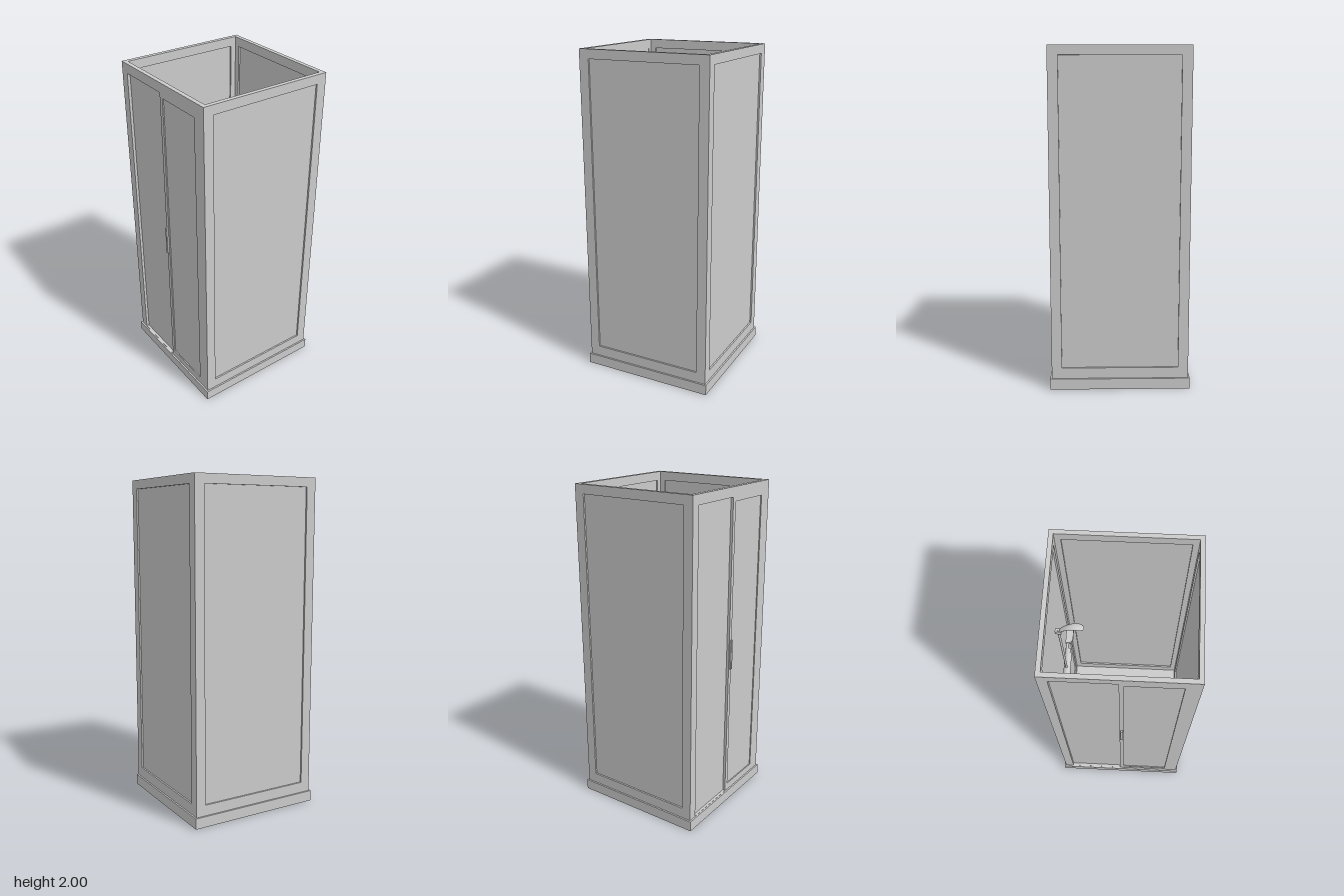
import * as THREE from 'three';
import { RoundedBoxGeometry } from 'three/addons/geometries/RoundedBoxGeometry.js';

const mat = new THREE.MeshStandardMaterial({ color: 0xcccccc, side: THREE.DoubleSide });
const flat = new THREE.MeshStandardMaterial({ color: 0xcccccc, side: THREE.DoubleSide, flatShading: true });

function add(parent, name, geo, x = 0, y = 0, z = 0, m = mat) {
  const mesh = new THREE.Mesh(geo, m);
  mesh.name = name;
  mesh.position.set(x, y, z);
  parent.add(mesh);
  return mesh;
}

// Rectangle (x0, y0, x1, y1) with a rectangular hole, extruded along +z
function frame([a, b, c, d], hole, depth) {
  const rect = (P, x0, y0, x1, y1) => new P([[x0, y0], [x1, y0], [x1, y1], [x0, y1]].map(p => new THREE.Vector2(...p)));
  const shape = rect(THREE.Shape, a, b, c, d);
  shape.holes.push(rect(THREE.Path, ...hole));
  return new THREE.ExtrudeGeometry(shape, { depth, bevelEnabled: false });
}

const box = (w, h, d) => new THREE.BoxGeometry(w, h, d);
const H = 0.405, T = 0.026, BASE = 0.065, TOP = 2;

function createTray() {
  const g = new THREE.Group();
  g.name = 'tray';
  const R = 0.415, I = 0.398;
  const rim = add(g, 'trayRim', frame([-R, -R, R, R], [-I, -I, I, I], BASE));
  rim.rotation.x = -Math.PI / 2;
  add(g, 'trayFloor', box(2 * I, 0.008, 2 * I), 0, 0.057, 0);
  // Drain: ten-sided flange with a domed cap
  add(g, 'drainFlange', new THREE.CylinderGeometry(0.051, 0.051, 0.014, 10), 0, 0.058, 0.001, flat);
  const dome = add(g, 'drainCap', new THREE.SphereGeometry(0.036, 10, 5, 0, Math.PI * 2, 0, Math.PI / 2), 0, 0.065, 0.001);
  dome.scale.y = 0.35;
  return g;
}

// Framed wall with a thin recessed pane, facing +z before it is turned
function createWall(name, angle, width) {
  const g = new THREE.Group();
  g.name = name;
  const w = 0.345, y0 = 0.13, y1 = 1.945;
  add(g, name + 'Frame', frame([-width, BASE, width, TOP], [-w, y0, w, y1], T), 0, 0, H - T);
  add(g, name + 'Pane', box(2 * w, y1 - y0, 0.006), 0, (y0 + y1) / 2, H - T / 2);
  g.rotation.y = angle;
  return g;
}

function createFront() {
  const g = new THREE.Group();
  g.name = 'frontWall';
  const top = 1.943;
  add(g, 'frontFrame', frame([-H, BASE, H, TOP], [-0.35, BASE + 0.002, 0.35, top], T), 0, 0, H - T);
  add(g, 'fixedPane', box(0.37, top - BASE, 0.006), -0.165, (top + BASE) / 2, H - 0.02);
  // Framed door, flush with the outer face
  add(g, 'doorFrame', frame([-0.004, BASE, 0.35, top], [0.022, 0.11, 0.32, 1.917], 0.016), 0, 0, H - 0.016);
  add(g, 'doorPane', box(0.298, 1.807, 0.005), 0.171, 1.0135, H - 0.009);
  add(g, 'doorHandle', new RoundedBoxGeometry(0.018, 0.185, 0.014, 2, 0.004), 0.009, 1.007, H + 0.006);
  return g;
}

function createShower() {
  const g = new THREE.Group();
  g.name = 'shower';
  const x = -0.357, y = 1.0, z = -0.015;
  const rod = (name, r0, r1, len, dz) => {
    const m = add(g, name, new THREE.CylinderGeometry(r0, r1, len, 20), x, y, z + dz);
    m.rotation.x = Math.PI / 2;
    return m;
  };
  // Mixer bar with a collar and a waisted knob on each end
  rod('mixerBody', 0.022, 0.022, 0.205, 0);
  const knob = [[0, 0], [0.011, 0], [0.008, 0.012], [0.009, 0.026], [0.012, 0.038], [0, 0.038]].map(p => new THREE.Vector2(...p));
  for (const s of [-1, 1]) {
    rod('mixerCollar', 0.016, 0.016, 0.03, s * 0.117).position.x = -0.36;
    const k = add(g, 'mixerKnob', new THREE.LatheGeometry(knob, 16), -0.367, y, z + s * 0.13);
    k.rotation.x = s * Math.PI / 2;
  }
  // Riser bar with the handset bracket
  add(g, 'riser', new THREE.CylinderGeometry(0.007, 0.007, 0.6, 12), -0.36, 1.3, z);
  add(g, 'bracket', box(0.035, 0.03, 0.022), -0.362, 1.58, z);

  // Handset: rings swept from a slim grip to a broad rounded head
  const stations = [[-0.36, 1.58, 0.009, 0.009], [-0.335, 1.61, 0.014, 0.012], [-0.30, 1.635, 0.018, 0.013],
    [-0.265, 1.645, 0.022, 0.013], [-0.235, 1.64, 0.021, 0.012], [-0.222, 1.635, 0.015, 0.009], [-0.216, 1.632, 0.004, 0.003]];
  const N = 16, pos = [], idx = [];
  stations.forEach(([cx, cy, rz, ry], i) => {
    for (let j = 0; j < N; j++) {
      const a = j / N * Math.PI * 2;
      pos.push(cx, cy + Math.sin(a) * ry, z - 0.003 + Math.cos(a) * rz);
      if (i) {
        const p = (i - 1) * N + j, q = (i - 1) * N + (j + 1) % N;
        idx.push(p, p + N, q, q, p + N, q + N);
      }
    }
  });
  const geo = new THREE.BufferGeometry();
  geo.setAttribute('position', new THREE.Float32BufferAttribute(pos, 3));
  geo.setIndex(idx);
  geo.computeVertexNormals();
  add(g, 'handset', geo);

  // Soap dish with rounded outer corners
  const dish = new THREE.Shape();
  dish.moveTo(0, 0);
  dish.lineTo(0.02, 0);
  dish.quadraticCurveTo(0.046, 0.002, 0.046, 0.03);
  dish.lineTo(0.046, 0.085);
  dish.quadraticCurveTo(0.046, 0.111, 0.02, 0.113);
  dish.lineTo(0, 0.113);
  const d = add(g, 'soapDish', new THREE.ExtrudeGeometry(dish, { depth: 0.02, bevelEnabled: false }), -0.379, 1.0, -0.182);
  d.rotation.x = -Math.PI / 2;
  return g;
}

export function createModel() {
  const model = new THREE.Group();
  model.name = 'showerCabin';
  model.add(createTray(), createFront(), createShower());
  model.add(createWall('backWall', Math.PI, H));
  model.add(createWall('leftWall', Math.PI / 2, H - T), createWall('rightWall', -Math.PI / 2, H - T));
  model.children.forEach(c => { c.position.z = -0.004; });
  return model;
}
